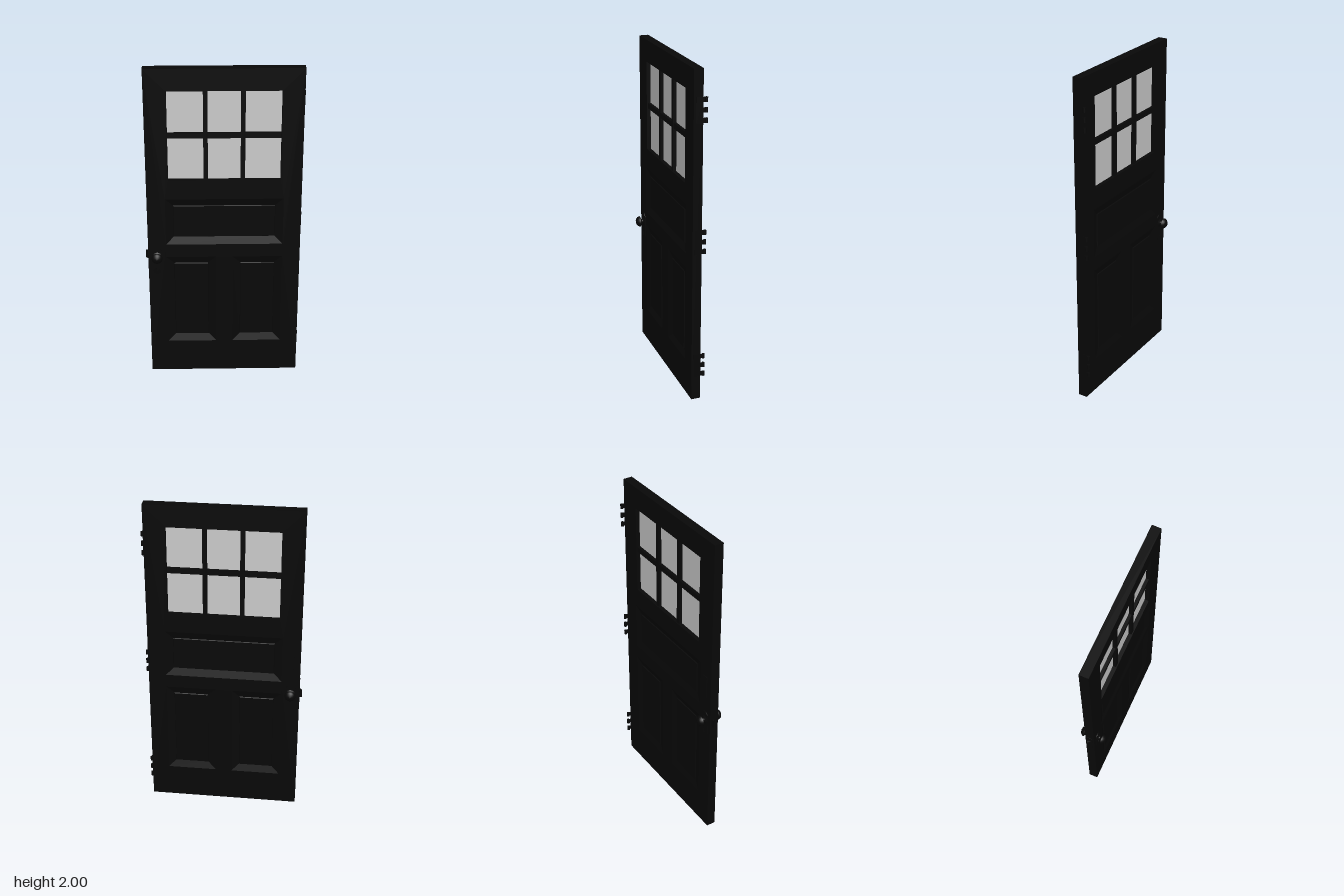
import * as THREE from 'three';

const dark = new THREE.MeshStandardMaterial({ color: 0x080808 });
const grey = new THREE.MeshStandardMaterial({ color: 0xcccccc });

const ZF = 0.025, ZB = -0.03, ZM = (ZF + ZB) / 2, HALF = (ZF - ZB) / 2;
const CX = 0.005; // centre line of the leaf
const KNOB_X = -0.4, KNOB_Y = 0.82;

export function createModel() {
  const door = new THREE.Group();
  door.name = 'door';

  const add = (name, geo, mat = dark, parent = door) => {
    const m = new THREE.Mesh(geo, mat);
    m.name = name;
    parent.add(m);
    return m;
  };
  // Box given by its extents
  const box = (name, x0, x1, y0, y1, z0, z1, mat = dark, parent = door) => {
    const m = add(name, new THREE.BoxGeometry(x1 - x0, y1 - y0, z1 - z0), mat, parent);
    m.position.set((x0 + x1) / 2, (y0 + y1) / 2, (z0 + z1) / 2);
    return m;
  };
  const rect = (Type, x0, x1, y0, y1) => new Type([
    [x0, y0], [x1, y0], [x1, y1], [x0, y1],
  ].map(([x, y]) => new THREE.Vector2(x, y)));

  // Frame with openings for the window and the three panels
  const win = [-0.323, 0.333, 1.323, 1.868];
  const panels = [
    ['upperPanel', -0.345, 0.355, 0.9, 1.2],
    ['lowerRightPanel', -0.345, -0.045, 0.215, 0.815],
    ['lowerLeftPanel', 0.055, 0.355, 0.215, 0.815],
  ];
  const outline = rect(THREE.Shape, -0.453, 0.46, 0, 2);
  outline.holes.push(rect(THREE.Path, ...win));
  for (const [, ...r] of panels) outline.holes.push(rect(THREE.Path, ...r));
  add('frame', new THREE.ExtrudeGeometry(outline, { depth: ZF - ZB, bevelEnabled: false }))
    .position.z = ZB;

  // Sunk panel face: sloped border, small step, flat field
  const panelFace = (w, h) => {
    const rings = [[0, HALF], [0.047, HALF - 0.014], [0.05, HALF - 0.009]];
    const pos = [];
    const corner = ([inset, z], k) => {
      const x = w / 2 - inset, y = h / 2 - inset;
      return [[-x, -y, z], [x, -y, z], [x, y, z], [-x, y, z]][k % 4];
    };
    const quad = (a, b, c, d) => pos.push(...a, ...b, ...c, ...a, ...c, ...d);
    for (let i = 0; i < rings.length - 1; i++)
      for (let k = 0; k < 4; k++)
        quad(corner(rings[i], k), corner(rings[i], k + 1), corner(rings[i + 1], k + 1), corner(rings[i + 1], k));
    quad(...[0, 1, 2, 3].map(k => corner(rings[2], k)));
    const g = new THREE.BufferGeometry();
    g.setAttribute('position', new THREE.Float32BufferAttribute(pos, 3));
    g.computeVertexNormals();
    return g;
  };
  for (const [name, x0, x1, y0, y1] of panels) {
    const panel = new THREE.Group();
    panel.name = name;
    panel.position.set((x0 + x1) / 2, (y0 + y1) / 2, ZM);
    const face = panelFace(x1 - x0, y1 - y0);
    add('panelFront', face, dark, panel);
    add('panelBack', face, dark, panel).rotation.y = Math.PI;
    door.add(panel);
  }

  // Window: two rows of three panes behind glazing bars
  const columns = [[-0.323, -0.116], [-0.098, 0.108], [0.126, 0.333]];
  columns[1] = [CX - 0.095, CX + 0.095];
  const rows = [[1.323, 1.582], [1.614, 1.868]];
  for (const [x0, x1] of columns)
    for (const [y0, y1] of rows) box('pane', x0, x1, y0, y1, ZM - 0.003, ZM + 0.003, grey);
  for (let i = 0; i < 2; i++)
    box('verticalBar', columns[i][1], columns[i + 1][0], win[2], win[3], ZM - 0.022, ZM + 0.022);
  box('horizontalBar', win[0], win[1], rows[0][1], rows[1][0], ZM - 0.0215, ZM + 0.0215);

  // Hinges: edge plate and three knuckles standing off the back
  for (const y of [1.772, 1.005, 0.222]) {
    const hinge = new THREE.Group();
    hinge.name = 'hinge';
    hinge.position.y = y;
    door.add(hinge);
    box('hingePlate', 0.455, 0.461, -0.075, 0.075, ZB, 0.012, dark, hinge);
    for (const dy of [-0.058, 0, 0.058]) {
      box('hingeTab', 0.457, 0.461, dy - 0.0135, dy + 0.0135, -0.045, ZB, dark, hinge);
      add('knuckle', new THREE.CylinderGeometry(0.009, 0.009, 0.027, 16), dark, hinge)
        .position.set(0.46, dy, -0.047);
    }
  }

  // Knobs on both faces: plate, rose, stem and mushroom head
  const profile = [
    [0.03, 0], [0.028, 0.003], [0.014, 0.008], [0.011, 0.013], [0.012, 0.018],
    [0.026, 0.023], [0.033, 0.027], [0.033, 0.031], [0.028, 0.041], [0.018, 0.049], [0, 0.053],
  ].map(([r, h]) => new THREE.Vector2(r, h));
  const knobGeo = new THREE.LatheGeometry(profile, 24).rotateX(Math.PI / 2);
  const plateShape = new THREE.Shape();
  plateShape.absarc(0, 0.03, 0.03, 0, Math.PI);
  plateShape.absarc(0, -0.09, 0.03, Math.PI, Math.PI * 2);
  const keyhole = new THREE.Path();
  keyhole.absarc(0, -0.07, 0.006, -0.3, Math.PI + 0.3);
  keyhole.lineTo(-0.005, -0.095);
  keyhole.lineTo(0.005, -0.095);
  plateShape.holes.push(keyhole);
  const plateGeo = new THREE.ExtrudeGeometry(plateShape, { depth: 0.003, bevelEnabled: false });
  for (const [name, z, turn] of [['frontKnob', ZF, 0], ['backKnob', ZB, Math.PI]]) {
    const knob = new THREE.Group();
    knob.name = name;
    knob.position.set(KNOB_X, KNOB_Y, z);
    knob.rotation.y = turn;
    add('knobPlate', plateGeo, dark, knob);
    add('knobHead', knobGeo, dark, knob);
    door.add(knob);
  }

  // Small bolt plate on the back
  box('boltPlate', -0.415, -0.38, 0.98, 1.13, ZB - 0.004, ZB);

  // Latch: edge plate and wedge-shaped tongue
  box('latchPlate', -0.4545, -0.45, 0.73, 0.91, ZM - 0.016, ZM + 0.016);
  const wedge = new THREE.Shape([[-0.45, 0.018], [-0.47, 0.018], [-0.45, -0.008]]
    .map(([x, y]) => new THREE.Vector2(x, y)));
  const tongue = add('latchTongue', new THREE.ExtrudeGeometry(wedge, { depth: 0.05, bevelEnabled: false })
    .rotateX(-Math.PI / 2));
  tongue.position.y = 0.795;

  return door;
}
